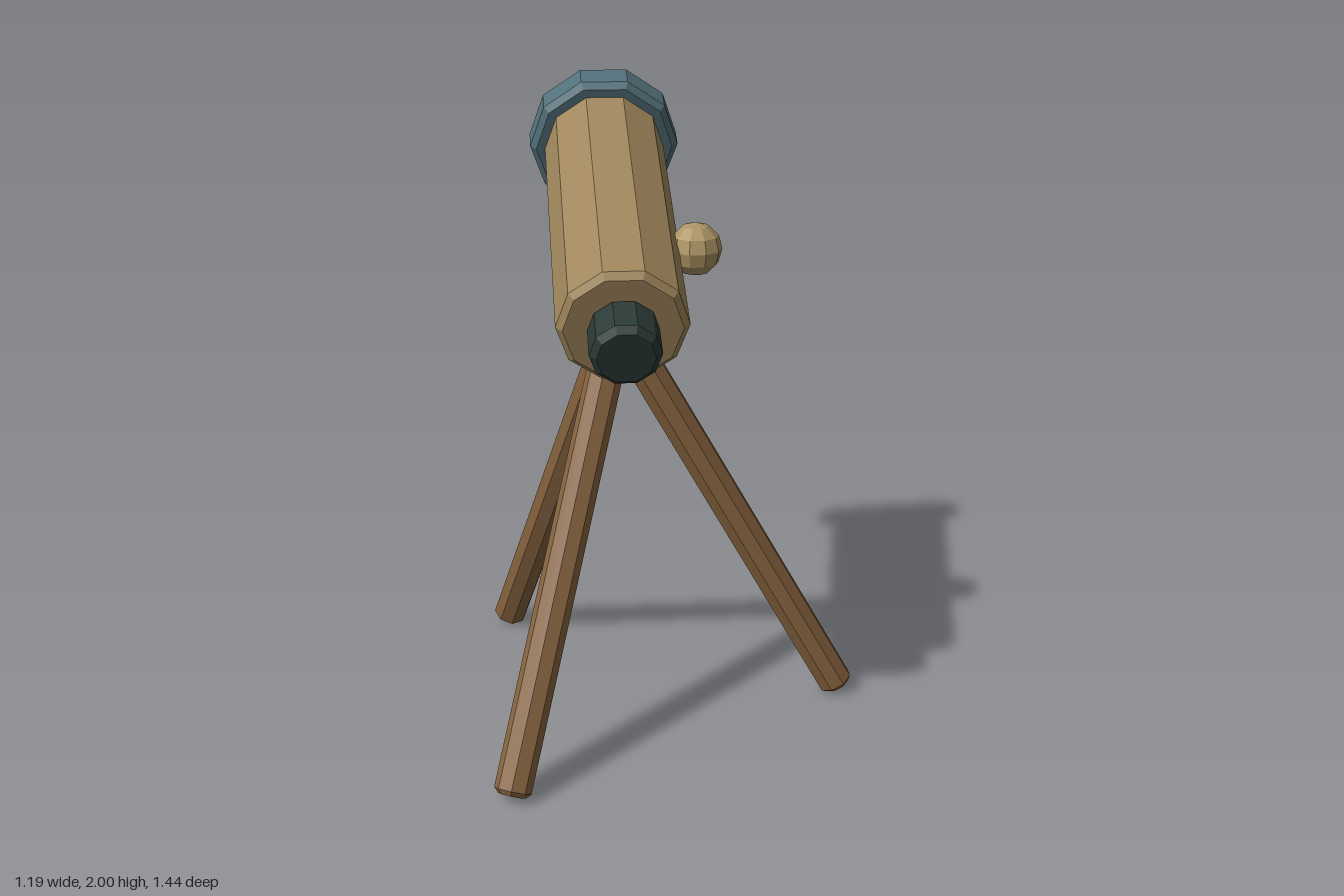
import * as THREE from 'three';

const material = (color) => new THREE.MeshStandardMaterial({ color, flatShading: true });

// Faceted rod along y from y0 to y1 with bevelled ends
function bevelledRod(radius, y0, y1, bevel, sides, phiStart) {
  const profile = [
    [0, y0], [radius - bevel, y0], [radius, y0 + bevel],
    [radius, y1 - bevel], [radius - bevel, y1], [0, y1],
  ].map(([r, y]) => new THREE.Vector2(r, y));
  return new THREE.LatheGeometry(profile, sides, phiStart);
}

function addMesh(parent, name, geometry, mat) {
  const mesh = new THREE.Mesh(geometry, mat);
  mesh.name = name;
  parent.add(mesh);
  return mesh;
}

export function createModel() {
  const model = new THREE.Group();
  model.name = 'telescope';

  // Optical assembly: built along y, then tipped back and up
  const optics = new THREE.Group();
  optics.name = 'optics';
  const brass = material(0xa0875c);
  const rod = (r, y0, y1) => bevelledRod(r, y0, y1, 0.02, 10, Math.PI / 2);
  addMesh(optics, 'tube', rod(0.197, -0.54, 0.54), brass);
  addMesh(optics, 'lensHood', rod(0.246, 0.52, 0.645), material(0x52707a));
  addMesh(optics, 'eyepiece', rod(0.106, -0.685, -0.525), material(0x2c3a38));
  optics.position.set(-0.184, 1.592, -0.041);
  optics.rotation.x = -THREE.MathUtils.degToRad(90 - 17.6);
  model.add(optics);

  // Focus knob on the side of the tube
  addMesh(model, 'focusKnob', new THREE.SphereGeometry(0.084, 10, 6), material(0xac9463))
    .position.set(0.066, 1.55, 0.04);

  // Tripod: three splayed octagonal legs meeting under the tube
  const tripod = new THREE.Group();
  tripod.name = 'tripod';
  tripod.position.set(-0.18, 1.33, 0.04);
  const wood = material(0x87643f);
  const tilt = Math.atan2(0.73, 1.3);
  const legGeometry = bevelledRod(0.058, -1.496, 0.06, 0.015, 8, Math.PI / 8);
  legGeometry.rotateZ(tilt);
  for (let i = 0; i < 3; i++) {
    addMesh(tripod, 'leg' + (i + 1), legGeometry, wood).rotation.y = (i * 2 * Math.PI) / 3;
  }
  model.add(tripod);

  return model;
}
